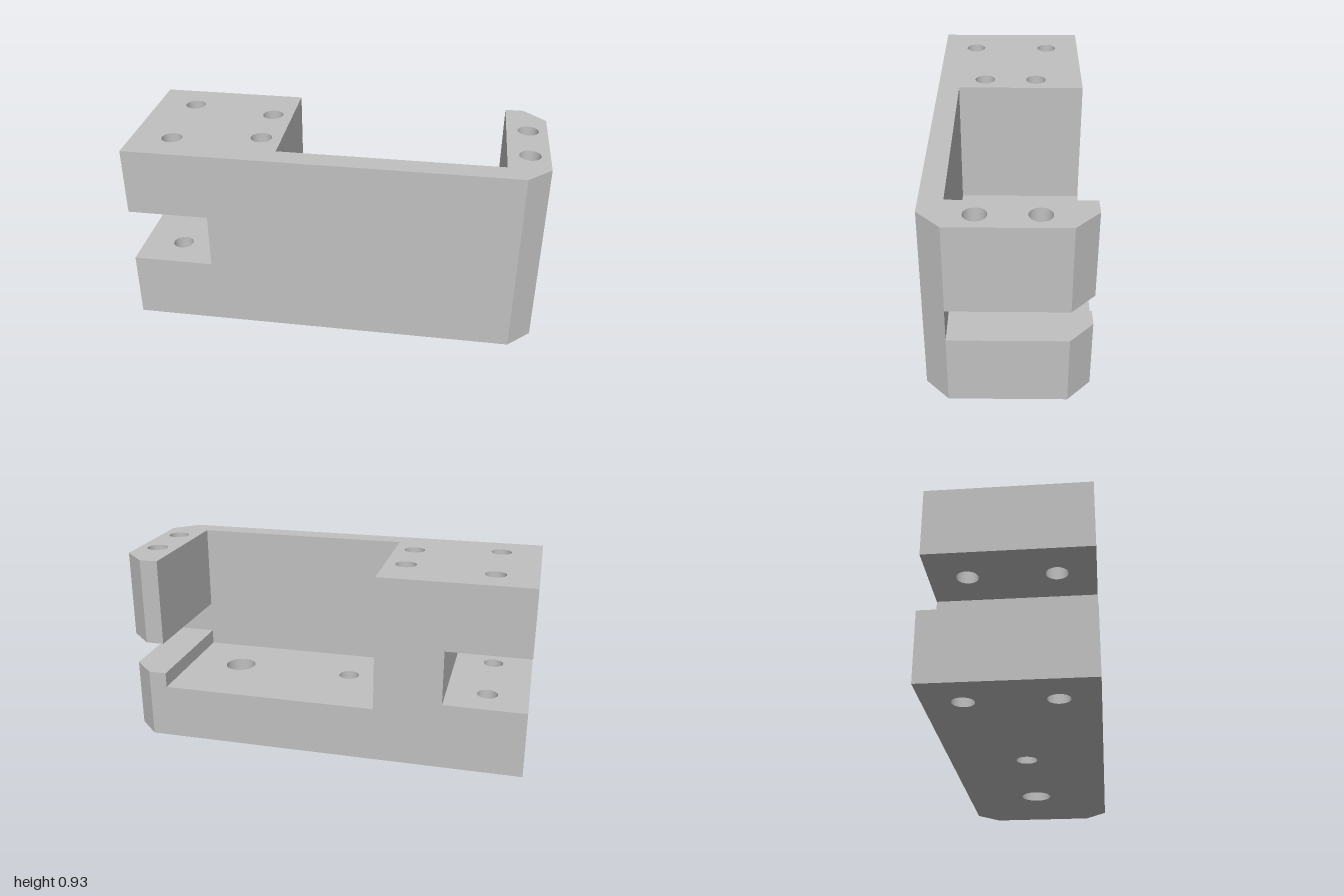
import * as THREE from 'three';
import { mergeGeometries } from 'three/addons/utils/BufferGeometryUtils.js';

// plan dimensions (x, z) and levels (y)
const L = 0.995, W = 0.372, CX = 0.885, CZ = 0.265;  // half length, half width, chamfer
const P0 = -0.272, P1 = 0.796, SLOT = -0.6;          // pocket ends, end of the jaw slot
const FLOOR = 0.27, TOP = 0.93;
const JAW = [0.33, 0.6], GAP = [0.345, 0.505];

export function createModel() {
  const group = new THREE.Group();
  const grey = new THREE.MeshStandardMaterial({ color: 0xc0c0c0 });
  grey.name = 'grey metal';

  const add = (name, ...geos) => {
    const mesh = new THREE.Mesh(geos.length > 1 ? mergeGeometries(geos) : geos[0], grey);
    mesh.name = name;
    group.add(mesh);
  };

  // upright faces along a closed plan outline
  const walls = (outline, y0, y1) => {
    const pos = [], uv = [];
    outline.forEach(([x, z], i) => {
      const [u, w] = outline[(i + 1) % outline.length];
      pos.push(x, y0, z, x, y1, z, u, y0, w, u, y0, w, x, y1, z, u, y1, w);
      uv.push(0, 0, 0, 1, 1, 0, 1, 0, 0, 1, 1, 1);
    });
    const g = new THREE.BufferGeometry();
    g.setAttribute('position', new THREE.Float32BufferAttribute(pos, 3));
    g.setAttribute('uv', new THREE.Float32BufferAttribute(uv, 2));
    g.computeVertexNormals();
    return g;
  };

  // level face with round holes [x, z, r], facing up (1) or down (-1)
  const level = (outline, y, facing, holes = []) => {
    const s = new THREE.Shape(outline.map(([x, z]) => new THREE.Vector2(x, -z * facing)));
    holes.forEach(([x, z, r]) =>
      s.holes.push(new THREE.Path().absarc(x, -z * facing, r, 0, Math.PI * 2, true)));
    return new THREE.ShapeGeometry(s, 20).rotateX(-facing * Math.PI / 2).translate(0, y, 0);
  };

  // inside wall of a round hole
  const bore = ([x, z, r], y0, y1) => new THREE.LatheGeometry(
    [new THREE.Vector2(r, y1), new THREE.Vector2(r, y0)], 40).translate(x, 0, z);

  // plan outlines
  const end = [[CX, -W], [L, -CZ], [L, CZ]];
  const front = (left) => [[CX, W], [left, W]];
  const plan = [[-L, -W], ...end, ...front(-L)];
  const pocket = [[P0, -W], [P1, -W], [P1, CZ], [P0, CZ]];
  const pocketed = (left) => [[left, -W], [P0, -W], [P0, CZ], [P1, CZ], [P1, -W],
    ...end, ...front(left)];
  const waist = [[SLOT, -W], [P0, -W], [P0, CZ], [L, CZ], ...front(SLOT)];
  const jaw = [[-L, -W], [SLOT, -W], [SLOT, W], [-L, W]];
  const post = [[P1, -W], ...end, [P1, CZ]];

  // holes
  const jawHoles = [-0.198, 0.198].map((z) => [-0.797, z, 0.05]);
  const floorHoles = [[-0.068, 0, 0.051], [0.53, -0.002, 0.077]];
  const blindHoles = [-0.372, 0.902].flatMap((x) => [-0.133, 0.133].map((z) => [x, z, 0.051]));

  // body
  add('baseSides', walls(plan, 0, FLOOR));
  add('lowerSides', walls(pocketed(-L), FLOOR, JAW[0]), walls(pocketed(SLOT), JAW[0], GAP[0]));
  add('waistSides', walls(waist, ...GAP));
  add('upperSides', walls(pocketed(SLOT), GAP[1], JAW[1]), walls(pocketed(-L), JAW[1], TOP));
  add('underside', level(plan, 0, -1, [...jawHoles, ...floorHoles]));
  add('pocketFloor', level(pocket, FLOOR, 1, floorHoles));
  add('topFace', level(pocketed(-L), TOP, 1, [...jawHoles, ...blindHoles]));
  add('jawSlotFaces', level(jaw, JAW[0], 1, jawHoles), level(jaw, JAW[1], -1, jawHoles));
  add('postGapFaces', level(post, GAP[0], 1), level(post, GAP[1], -1));

  // hole walls
  add('jawBores', ...jawHoles.flatMap((h) => [bore(h, 0, JAW[0]), bore(h, JAW[1], TOP)]));
  add('floorBores', ...floorHoles.map((h) => bore(h, 0, FLOOR)));
  const depth = TOP - 0.25;
  add('screwBores', ...blindHoles.flatMap((h) => [
    bore(h, depth, TOP),
    new THREE.CircleGeometry(h[2], 40).rotateX(-Math.PI / 2).translate(h[0], depth, h[1]),
  ]));

  // the block sits slightly turned
  group.rotation.y = 0.0133;
  return group;
}
